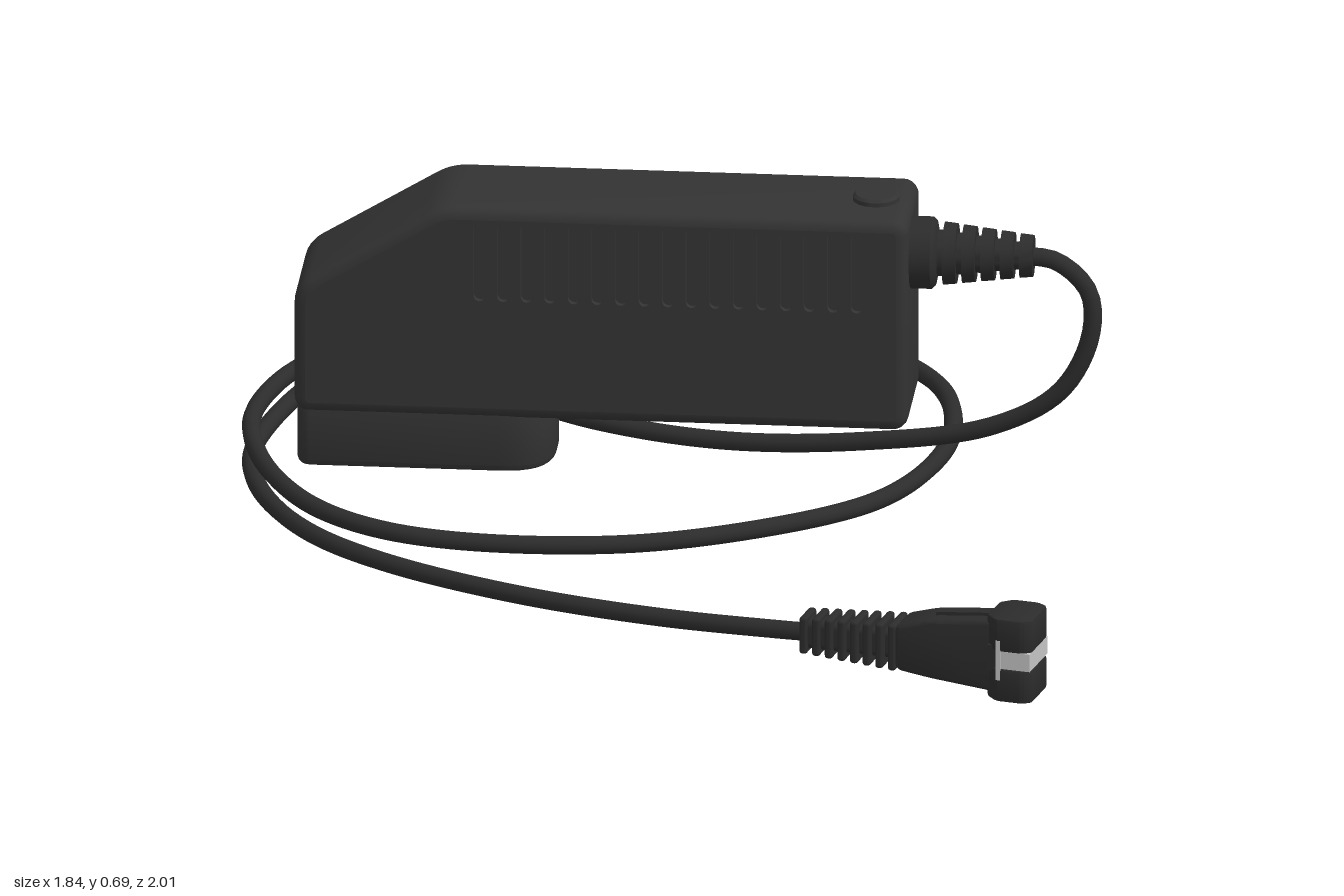
import * as THREE from 'three';
import { toCreasedNormals } from 'three/addons/utils/BufferGeometryUtils.js';
import { RoundedBoxGeometry } from 'three/addons/geometries/RoundedBoxGeometry.js';

const material = (name, color) => {
  const m = new THREE.MeshStandardMaterial({ color });
  m.name = name;
  return m;
};

// Closed polygon with rounded corners; each point is [x, y, radius].
function roundedShape(points) {
  const shape = new THREE.Shape();
  const n = points.length;
  points.forEach(([x, y, r], i) => {
    const p = new THREE.Vector2(x, y);
    const toward = (q) => new THREE.Vector2(q[0], q[1]).sub(p).setLength(r).add(p);
    const a = toward(points[(i + n - 1) % n]);
    const b = toward(points[(i + 1) % n]);
    if (i === 0) shape.moveTo(a.x, a.y);
    else shape.lineTo(a.x, a.y);
    shape.quadraticCurveTo(x, y, b.x, b.y);
  });
  shape.closePath();
  return shape;
}

// Vertical slot with round ends.
function slotHole(x, y0, y1, r) {
  const hole = new THREE.Path();
  hole.absarc(x, y1 - r, r, 0, Math.PI, false);
  hole.absarc(x, y0 + r, r, Math.PI, Math.PI * 2, false);
  hole.closePath();
  return hole;
}

export function createModel() {
  const model = new THREE.Group();
  const housingMat = material('charcoal housing', 0x333333);
  const cableMat = material('black rubber', 0x2c2c2c);
  const metalMat = material('contact metal', 0xc4c4c4);

  const add = (name, geometry, mat, parent = model, x = 0, y = 0, z = 0) => {
    const mesh = new THREE.Mesh(geometry, mat);
    mesh.name = name;
    mesh.position.set(x, y, z);
    parent.add(mesh);
    return mesh;
  };

  // Housing: a rounded rim closed by two slotted side panels
  const housing = new THREE.Group();
  housing.name = 'housing';
  housing.position.z = -0.255;
  model.add(housing);

  const edge = 0.025, half = 0.145;
  const outline = [
    [-0.785, 0.215, 0.01], [0.485, 0.215, 0.01], [0.485, 0.645, 0.01],
    [-0.488, 0.645, 0.03], [-0.785, 0.465, 0.03],
  ];
  const solid = new THREE.ExtrudeGeometry(roundedShape(outline), {
    depth: 2 * (half - edge), bevelThickness: edge, bevelSize: edge, bevelSegments: 4, curveSegments: 5,
  });
  const rim = new THREE.BufferGeometry();
  const sides = solid.groups[1];
  rim.setAttribute('position', new THREE.BufferAttribute(
    solid.attributes.position.array.slice(sides.start * 3, (sides.start + sides.count) * 3), 3));
  rim.translate(0, 0, -(half - edge));
  add('housingRim', toCreasedNormals(rim, 0.6), housingMat, housing);

  const panelShape = roundedShape(outline);
  for (let i = 0; i < 17; i++) panelShape.holes.push(slotHole(-0.41 + i * 0.0507, 0.46, 0.643, 0.013));
  const panel = new THREE.ExtrudeGeometry(panelShape, { depth: 0.015, bevelEnabled: false, curveSegments: 5 });
  add('ventPanelFront', panel, housingMat, housing, 0, 0, half - 0.015);
  add('ventPanelBack', panel, housingMat, housing, 0, 0, -half);
  add('ventFloor', new THREE.BoxGeometry(0.9, 0.21, 2 * half - 0.028), housingMat, housing, 0, 0.552, 0);

  // Foot under the sloped end, round at its inner end
  const footShape = roundedShape([
    [-0.79, -0.12, 0.02], [-0.27, -0.12, 0.1], [-0.27, 0.12, 0.1], [-0.79, 0.12, 0.02],
  ]);
  const foot = new THREE.ExtrudeGeometry(footShape, {
    depth: 0.12, bevelThickness: 0.015, bevelSize: 0.015, bevelSegments: 3, curveSegments: 8,
  });
  foot.rotateX(-Math.PI / 2);
  add('foot', toCreasedNormals(foot, 0.6), housingMat, housing, 0, 0.08, 0);

  // Round button on top
  const button = new THREE.LatheGeometry(
    [[0.05, 0], [0.05, 0.012], [0.044, 0.018], [0, 0.018]].map(([r, y]) => new THREE.Vector2(r, y)), 32);
  add('button', toCreasedNormals(button, 0.5), housingMat, housing, 0.43, 0.667, 0.005);

  // Ribbed strain relief where the cable leaves the housing
  const profile = [[0, 0], [0.078, 0], [0.078, 0.05], [0.07, 0.058]];
  for (let i = 0; i < 5; i++) {
    const r = 0.068 - i * 0.005, x = 0.075 + i * 0.041;
    profile.push([r - 0.018, x - 0.013], [r - 0.018, x], [r, x], [r - 0.003, x + 0.028]);
  }
  profile.push([0, 0.267]);
  const relief = new THREE.LatheGeometry(profile.map(([r, x]) => new THREE.Vector2(r, x)), 28);
  relief.rotateZ(-Math.PI / 2);
  add('strainRelief', toCreasedNormals(relief, 0.6), cableMat, model, 0.505, 0.565, -0.215);

  // Cable: down from the relief, under the housing, one loop, then out to the plug
  const path = [
    [0.74, 0.565, -0.215], [0.82, 0.555, -0.215], [0.89, 0.49, -0.21], [0.895, 0.39, -0.205],
    [0.83, 0.26, -0.21], [0.68, 0.165, -0.235], [0.4, 0.1, -0.29], [0.1, 0.07, -0.345],
    [-0.18, 0.08, -0.41], [-0.42, 0.12, -0.475], [-0.62, 0.155, -0.525], [-0.75, 0.165, -0.535],
    [-0.825, 0.165, -0.46], [-0.89, 0.16, -0.28], [-0.9, 0.16, -0.1], [-0.845, 0.15, 0.12],
    [-0.73, 0.135, 0.3], [-0.58, 0.125, 0.4], [-0.38, 0.115, 0.433], [-0.05, 0.105, 0.39],
    [0.24, 0.1, 0.25], [0.45, 0.09, 0.05], [0.55, 0.085, -0.18], [0.58, 0.085, -0.42],
    [0.52, 0.09, -0.68], [0.33, 0.095, -0.88], [0.02, 0.105, -0.98], [-0.32, 0.12, -0.9],
    [-0.62, 0.145, -0.72], [-0.8, 0.118, -0.49], [-0.89, 0.085, -0.27], [-0.9, 0.08, -0.1],
    [-0.85, 0.075, 0.1], [-0.73, 0.07, 0.3], [-0.55, 0.065, 0.45], [-0.25, 0.065, 0.615],
    [0.05, 0.07, 0.73], [0.3, 0.08, 0.805], [0.45, 0.085, 0.84],
  ].map((p) => new THREE.Vector3(...p));
  add('cable', new THREE.TubeGeometry(new THREE.CatmullRomCurve3(path), 360, 0.02, 12), cableMat);

  // Plug: local x runs along the plug toward its tip
  const plug = new THREE.Group();
  plug.name = 'plug';
  plug.position.set(0.37, 0.095, 0.825);
  plug.rotation.y = -0.23;
  model.add(plug);

  add('plugSleeve', new RoundedBoxGeometry(0.24, 0.066, 0.056, 2, 0.015), cableMat, plug, 0.12, -0.008, 0);
  for (let i = 0; i < 8; i++) {
    const size = 0.084 + i * 0.003;
    add('plugRib', new RoundedBoxGeometry(0.018, size, size - 0.012, 2, 0.007), cableMat, plug,
      0.012 + i * 0.029, -0.008, 0);
  }

  // Tapered grip with a flat key on its upper and lower faces
  const grip = new THREE.ExtrudeGeometry(roundedShape([
    [0.23, -0.05, 0.01], [0.3, -0.06, 0.02], [0.46, -0.075, 0.01],
    [0.46, 0.075, 0.01], [0.3, 0.058, 0.02], [0.23, 0.038, 0.01],
  ]), { depth: 0.072, bevelThickness: 0.01, bevelSize: 0.008, bevelSegments: 3 });
  grip.translate(0, 0, -0.036);
  add('plugGrip', toCreasedNormals(grip, 0.6), cableMat, plug);
  for (const s of [-1, 1]) {
    const key = add('gripKey', new THREE.BoxGeometry(0.12, 0.01, 0.024), cableMat, plug, 0.365, s * 0.075, 0);
    key.rotation.z = s * 0.1;
  }

  // Head: two chamfered jaws around a metal contact
  const jawShape = roundedShape([
    [0.43, -0.04, 0.005], [0.455, -0.064, 0.01], [0.515, -0.064, 0.01], [0.535, -0.05, 0.005],
    [0.535, 0.05, 0.005], [0.515, 0.064, 0.01], [0.455, 0.064, 0.01], [0.43, 0.04, 0.005],
  ]);
  const jaw = new THREE.ExtrudeGeometry(jawShape, {
    depth: 0.06, bevelThickness: 0.008, bevelSize: 0.006, bevelOffset: -0.006, bevelSegments: 2,
  });
  jaw.rotateX(-Math.PI / 2);
  const jawGeometry = toCreasedNormals(jaw, 0.6);
  add('upperJaw', jawGeometry, cableMat, plug, 0, 0.027, 0);
  add('lowerJaw', jawGeometry, cableMat, plug, 0, -0.087, 0);
  add('jawWeb', new THREE.BoxGeometry(0.04, 0.06, 0.11), cableMat, plug, 0.455, 0, 0);
  add('contact', new THREE.BoxGeometry(0.075, 0.04, 0.12), metalMat, plug, 0.495, 0, 0);
  for (const s of [-1, 1]) {
    add('contactTab', new THREE.BoxGeometry(0.01, 0.09, 0.008), metalMat, plug, 0.462, 0, s * 0.061);
  }

  return model;
}
